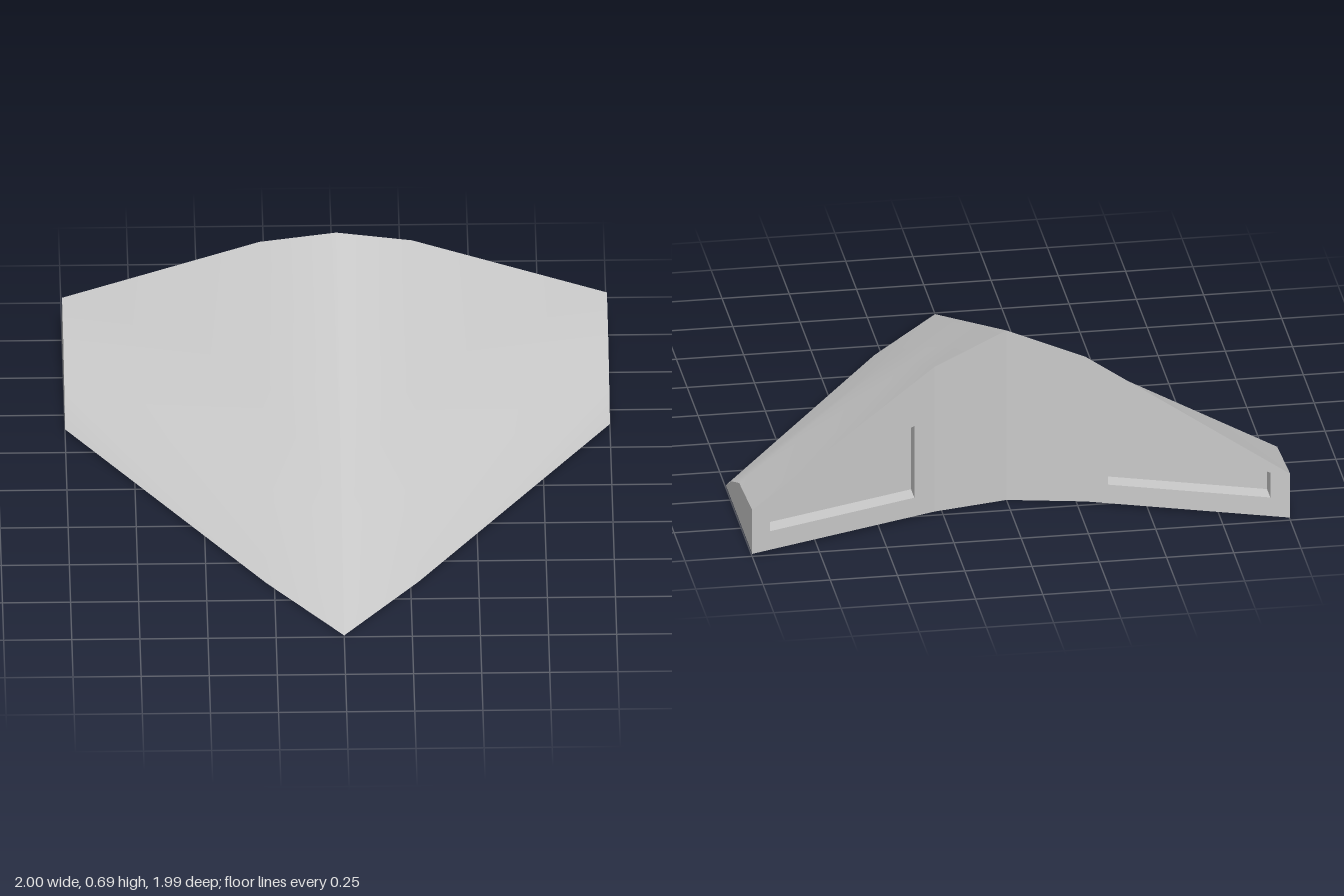
import * as THREE from 'three';

const material = new THREE.MeshStandardMaterial({ color: 0xcccccc });

// Cross-sections (front to back) at the centre, shoulder and wing tip
const sections = [
  { x: 0, pts: [[0.005, 0.99], [0.2, 0.52], [0.416, 0], [0.69, -0.66]], base: 0.005 },
  { x: 0.28, pts: [[0.015, 0.65], [0.183, 0.25], [0.373, -0.2], [0.6, -0.74]], base: 0.015 },
  { x: 1, pts: [[0.015, -0.39], [0.09, -0.52], [0.165, -0.7], [0.192, -1]], base: 0.015 },
];
const backZ = (x) => -0.74 - (x - 0.28) * (0.26 / 0.72);

// Surface through rows of [x, y, z] points
function loft(rows) {
  const n = rows[0].length;
  const index = [];
  for (let i = 0; i < rows.length - 1; i++) {
    for (let j = 0; j < n - 1; j++) {
      const a = i * n + j, b = a + 1, c = b + n, d = a + n;
      index.push(a, b, c, a, c, d);
    }
  }
  const g = new THREE.BufferGeometry();
  g.setAttribute('position', new THREE.Float32BufferAttribute(rows.flat(2), 3));
  g.setIndex(index);
  return g;
}

function reverse(g) {
  const a = g.index.array;
  for (let i = 0; i < a.length; i += 3) [a[i], a[i + 1]] = [a[i + 1], a[i]];
  return g;
}

export function createModel() {
  const model = new THREE.Group();
  model.name = 'wedgeHull';

  for (const side of [1, -1]) {
    const half = new THREE.Group();
    half.name = side > 0 ? 'leftHalf' : 'rightHalf';
    model.add(half);
    const add = (name, g) => {
      if (side < 0) {
        g.scale(-1, 1, 1);
        reverse(g);
      }
      g.computeVertexNormals();
      const mesh = new THREE.Mesh(g, material);
      mesh.name = name;
      half.add(mesh);
    };

    // Upper skin and underside
    const top = [0, 1, 2, 3].map((i) => sections.map((s) => [s.x, ...s.pts[i]]));
    const baseBack = sections.map((s) => [s.x, s.base, s.pts[3][1]]);
    add('upperSkin', loft(top));
    add('underside', loft([baseBack, top[0]]));

    // Flat wing tip
    const tip = sections[2];
    add('wingTip', loft([
      tip.pts.map(([, z]) => [1, tip.base, z]),
      tip.pts.map(([y, z]) => [1, y, z]),
    ]));

    // Back wall: plain inner panel, outer panel with a tapered opening
    add('innerBackPanel', loft([top[3].slice(0, 2), baseBack.slice(0, 2)]));
    const rim = [[0.36, 0.09], [0.93, 0.09], [0.93, 0.19], [0.36, 0.38]];
    const vec = ([x, y]) => new THREE.Vector2(x, y);
    const shape = new THREE.Shape([[0.28, 0.015], [1, 0.015], [1, 0.192], [0.28, 0.6]].map(vec));
    shape.holes.push(new THREE.Path(rim.map(vec)));
    const panel = reverse(new THREE.ShapeGeometry(shape));
    const p = panel.attributes.position;
    for (let i = 0; i < p.count; i++) p.setZ(i, backZ(p.getX(i)));
    add('outerBackPanel', panel);

    // Recess behind the opening
    const outer = rim.map(([x, y]) => [x, y, backZ(x)]);
    const inner = outer.map(([x, y, z]) => [x, y, z + 0.075]);
    for (let i = 0; i < 4; i++) {
      const k = (i + 1) % 4;
      add('recessWall', loft([[inner[i], inner[k]], [outer[i], outer[k]]]));
    }
    add('recessFloor', loft([[inner[3], inner[2]], [inner[0], inner[1]]]));
  }
  return model;
}
